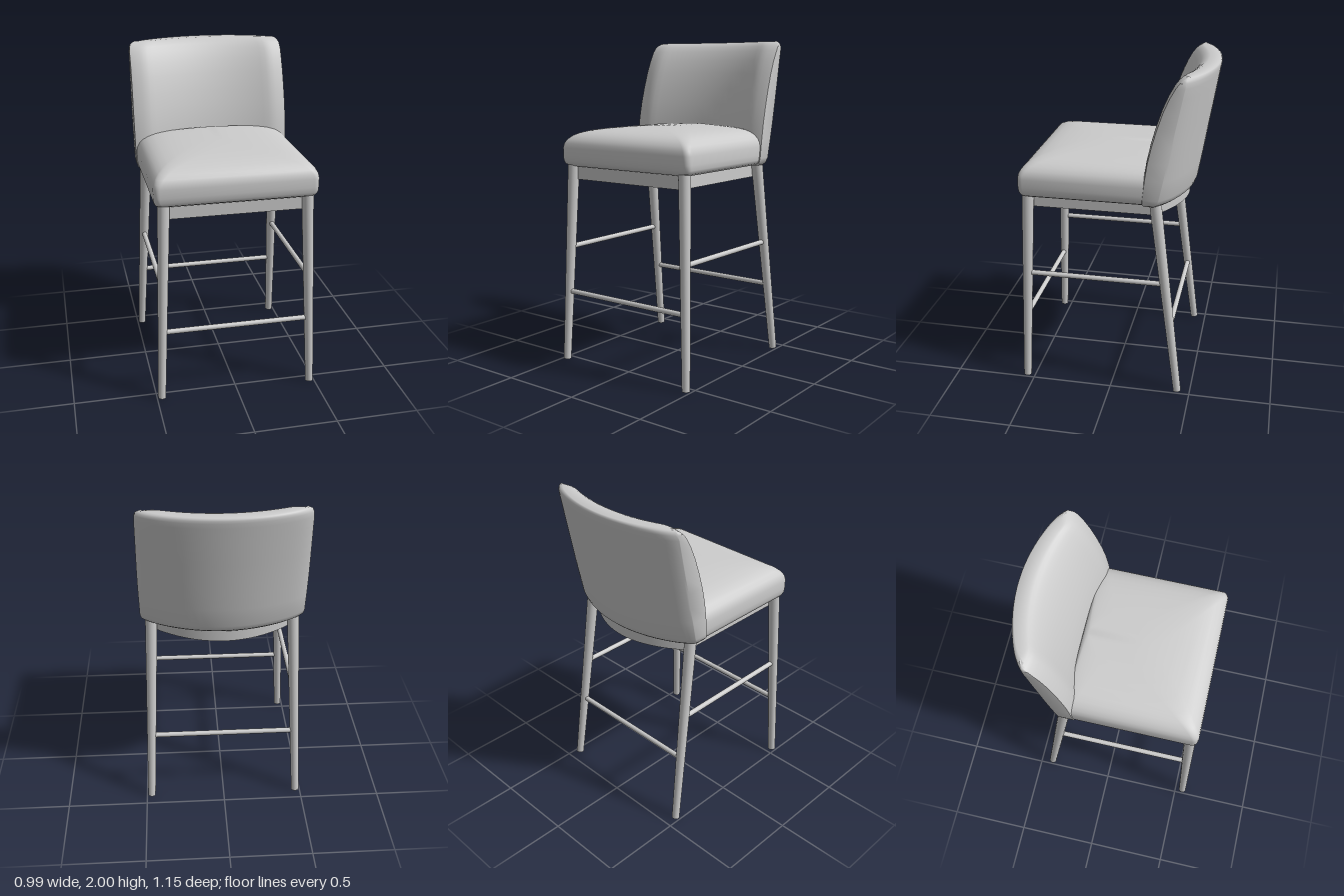
import * as THREE from 'three';
import { toCreasedNormals } from 'three/addons/utils/BufferGeometryUtils.js';

const mat = new THREE.MeshStandardMaterial({ color: 0xcccccc });
mat.name = 'light grey';

function add(group, name, geometry) {
  const mesh = new THREE.Mesh(geometry, mat);
  mesh.name = name;
  group.add(mesh);
  return mesh;
}

// Tapered round rod from point a to point b
function rod(group, name, a, b, ra, rb) {
  const from = new THREE.Vector3(...a), to = new THREE.Vector3(...b);
  const dir = to.clone().sub(from);
  const mesh = add(group, name, new THREE.CylinderGeometry(rb, ra, dir.length(), 20));
  mesh.position.copy(from).add(to).multiplyScalar(0.5);
  mesh.quaternion.setFromUnitVectors(new THREE.Vector3(0, 1, 0), dir.normalize());
}

// Skin over horizontal loops (back edge left to right, then front edge right to left), bottom to top
function loft(loops, crease) {
  const n = loops[0].length, idx = [], last = (loops.length - 1) * n;
  for (let r = 0; r < loops.length - 1; r++) {
    for (let i = 0; i < n; i++) {
      const a = r * n + i, b = r * n + (i + 1) % n;
      idx.push(a, a + n, b + n, a, b + n, b);
    }
  }
  for (let i = 0; i < n / 2 - 1; i++) {
    const j = n - 1 - i;
    idx.push(last + i, last + j, last + i + 1, last + i + 1, last + j, last + j - 1);
    idx.push(i, i + 1, j, i + 1, j - 1, j);
  }
  const g = new THREE.BufferGeometry();
  g.setAttribute('position', new THREE.Float32BufferAttribute(loops.flat(2), 3));
  g.setIndex(idx);
  return toCreasedNormals(g, crease);
}

// Domed cushion: rounded rectangles, inset by d at height y
function seatGeometry() {
  const rings = [[0.03, 1.238], [0.01, 1.25], [0.002, 1.27], [0, 1.3], [0, 1.35], [0.005, 1.378], [0.018, 1.402],
    [0.04, 1.424], [0.07, 1.441], [0.11, 1.454], [0.17, 1.464], [0.25, 1.472], [0.34, 1.477], [0.44, 1.48]];
  return loft(rings.map(([d, y]) => {
    const x = 0.485 - d, front = 0.555 - d, back = -0.25 + d * 0.1;
    const r = Math.min(0.035 + d * 0.3, x * 0.8);
    const corners = [[-x + r, back + r], [x - r, back + r], [x - r, front - r], [-x + r, front - r]];
    const loop = [];
    corners.forEach(([cx, cz], k) => {
      for (let i = 0; i <= 6; i++) {
        const t = Math.PI + (k + i / 6) * Math.PI / 2;
        loop.push([cx + r * Math.cos(t), y, cz + r * Math.sin(t)]);
      }
    });
    return loop;
  }), 1.2);
}

// Wrapped backrest: [height, half width, rear centre z, front z at the sides]
function backGeometry() {
  const rings = [[1.235, 0.47, -0.43, -0.185], [1.25, 0.483, -0.446, -0.175], [1.28, 0.49, -0.457, -0.177],
    [1.4, 0.492, -0.478, -0.19], [1.5, 0.493, -0.495, -0.205], [1.6, 0.493, -0.511, -0.227],
    [1.7, 0.492, -0.528, -0.255], [1.8, 0.491, -0.545, -0.288], [1.88, 0.49, -0.558, -0.322],
    [1.94, 0.49, -0.568, -0.355], [1.97, 0.486, -0.573, -0.378], [1.985, 0.479, -0.574, -0.395],
    [1.995, 0.468, -0.572, -0.413], [2.0, 0.45, -0.566, -0.43]];
  const n = 32;
  return loft(rings.map(([y, w, rear, front]) => {
    const t = (y - 1.235) / 0.765, bow = 0.15 - 0.03 * t, dip = 0.045 + 0.025 * t;
    const loop = [];
    for (let i = 0; i <= n; i++) {
      const u = Math.sin((i / n - 0.5) * Math.PI);
      loop.push([w * u, y, rear + bow * u * u + 0.025 * u ** 12]);
    }
    for (let i = n; i >= 0; i--) {
      const u = Math.sin((i / n - 0.5) * Math.PI), k = Math.min(1, Math.abs(u) / 0.8);
      const edge = Math.max(0, (Math.abs(u) - 0.8) / 0.2);
      loop.push([w * u, y, front - dip * (1 - k * k) - 0.015 * edge * edge]);
    }
    return loop;
  }), 1.1);
}

// Frame under the seat with a curved rear edge
function apronGeometry() {
  const s = new THREE.Shape();
  s.moveTo(-0.4, 0.505);
  s.lineTo(-0.4, -0.25);
  s.quadraticCurveTo(0, -0.57, 0.4, -0.25);
  s.lineTo(0.4, 0.505);
  s.closePath();
  const g = new THREE.ExtrudeGeometry(s, { depth: 0.09, bevelEnabled: false, curveSegments: 24 });
  g.rotateX(Math.PI / 2).translate(0, 1.245, 0);
  return toCreasedNormals(g, 0.5);
}

export function createModel() {
  const stool = new THREE.Group();
  stool.name = 'barStool';
  add(stool, 'seatCushion', seatGeometry());
  add(stool, 'backrest', backGeometry());
  add(stool, 'seatFrame', apronGeometry());

  // Leg centre line: x and z at height y
  const top = 1.25;
  const legPoint = (side, isFront, y) => {
    const t = y / top;
    return [side * (0.47 - 0.045 * t), y, isFront ? 0.55 - 0.045 * t : -0.422 + 0.163 * t];
  };

  for (const side of [-1, 1]) {
    const label = side > 0 ? 'left' : 'right';
    rod(stool, label + 'FrontLeg', legPoint(side, true, 0.002), legPoint(side, true, top), 0.024, 0.036);
    rod(stool, label + 'BackLeg', legPoint(side, false, 0.002), legPoint(side, false, top), 0.024, 0.036);
    rod(stool, label + 'SideRung', legPoint(side, true, 0.73), legPoint(side, false, 0.73), 0.016, 0.016);
  }
  for (const isFront of [true, false]) {
    rod(stool, isFront ? 'frontRung' : 'backRung',
      legPoint(-1, isFront, 0.445), legPoint(1, isFront, 0.445), 0.016, 0.016);
  }
  return stool;
}
